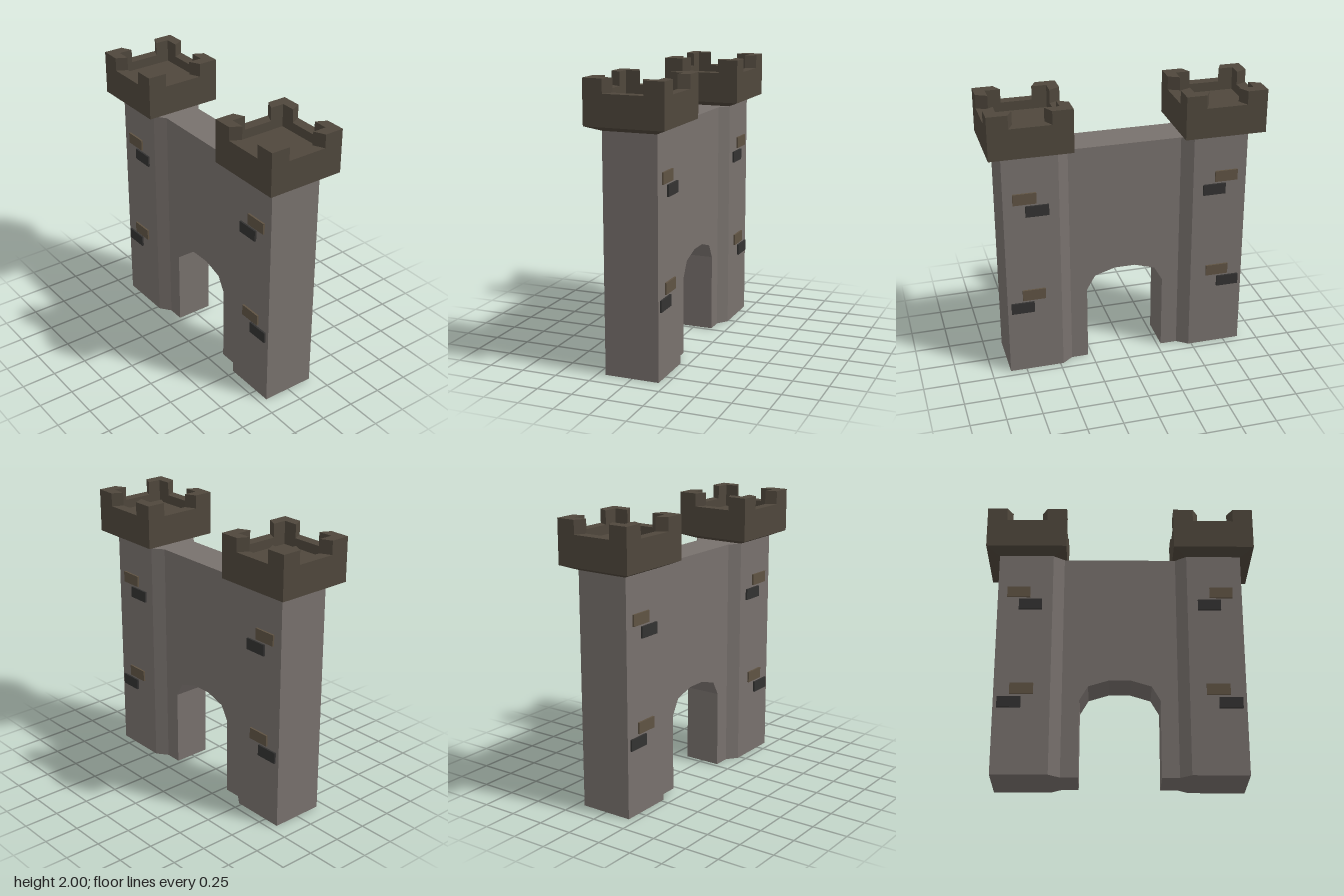
import * as THREE from 'three';

const mat = (color) => new THREE.MeshStandardMaterial({ color, flatShading: true });

// Upright prism from a plan outline of [x, z] points
function prism(points, y0, y1) {
  const shape = new THREE.Shape(points.map(([x, z]) => new THREE.Vector2(x, -z)));
  return new THREE.ExtrudeGeometry(shape, { depth: y1 - y0, bevelEnabled: false })
    .rotateX(-Math.PI / 2).translate(0, y0, 0);
}

export function createModel() {
  const group = new THREE.Group();
  const stone = mat(0x78716d), brown = mat(0x4f473c), tan = mat(0x5f5343), dark = mat(0x333231);
  const add = (parent, name, geometry, material) => {
    const mesh = new THREE.Mesh(geometry, material);
    mesh.name = name;
    parent.add(mesh);
    return mesh;
  };

  const wallTop = 1.655, wallHalf = 0.135, towerHalf = 0.193, towerX = 0.6725;

  // Gate wall with a faceted arch
  const arch = [[0.28, 0], [0.28, 0.555], [0.22, 0.66], [0.075, 0.705]];
  const outline = [[-0.4, 0], [-0.4, wallTop], [0.4, wallTop], [0.4, 0], ...arch,
    ...arch.map(([x, y]) => [-x, y]).reverse()];
  const wallShape = new THREE.Shape(outline.map(([x, y]) => new THREE.Vector2(x, y)));
  add(group, 'gateWall', new THREE.ExtrudeGeometry(wallShape, { depth: wallHalf * 2, bevelEnabled: false })
    .translate(0, 0, -wallHalf), stone);

  // Bricks on each tower face: [centre x, centre y, material]
  const bricks = [[0.718, 1.36, tan], [0.633, 1.263, dark], [0.675, 0.615, tan], [0.758, 0.517, dark]];

  for (const side of [1, -1]) {
    const tower = new THREE.Group();
    tower.name = side > 0 ? 'leftTower' : 'rightTower';
    group.add(tower);

    // Shaft, chamfered towards the gate wall
    const plan = [[0.4, wallHalf], [0.478, towerHalf], [0.866, towerHalf],
      [0.866, -towerHalf], [0.478, -towerHalf], [0.4, -wallHalf]];
    add(tower, 'towerShaft', prism(plan.map(([x, z]) => [x * side, z]), 0, wallTop), stone);

    for (const [x, y, material] of bricks) {
      for (const face of [1, -1]) {
        const brick = add(tower, 'brick', new THREE.BoxGeometry(0.163, 0.08, 0.03), material);
        brick.position.set(x * side, y, face * 0.191);
      }
    }

    // Square parapet with a flared base and a sunken floor
    const crown = new THREE.Group();
    crown.name = 'battlement';
    crown.position.x = towerX * side;
    tower.add(crown);
    const profile = [[0, 1.655], [0.19, 1.655], [0.28, 1.692], [0.28, 1.905],
      [0.205, 1.905], [0.205, 1.84], [0, 1.84]];
    add(crown, 'parapet', new THREE.LatheGeometry(
      profile.map(([r, y]) => new THREE.Vector2(r * Math.SQRT2, y)), 4, Math.PI / 4)
      .scale(1.025, 1, 1), brown);

    // Corner merlons with splayed ends
    const corner = [[0.287, 0.28], [0.145, 0.28], [0.107, 0.205], [0.21, 0.205], [0.21, 0.105], [0.287, 0.143]];
    for (const sx of [1, -1]) {
      for (const sz of [1, -1]) {
        add(crown, 'merlon', prism(corner.map(([x, z]) => [x * sx, z * sz]), 1.905, 2), brown);
      }
    }
  }
  return group;
}
